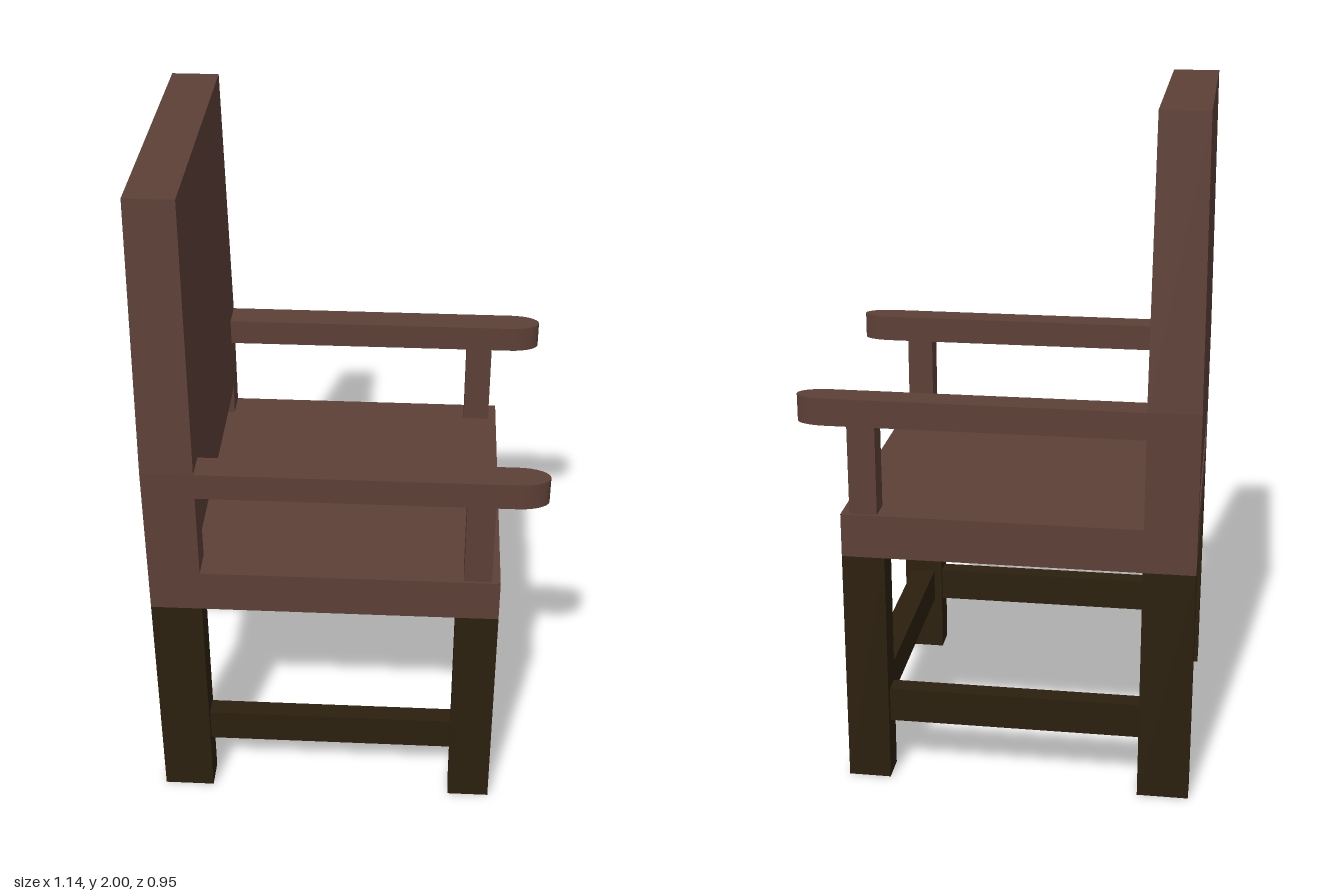
import * as THREE from 'three';

export function createModel() {
  const chair = new THREE.Group();
  chair.name = 'armchair';

  const brownWood = new THREE.MeshStandardMaterial({ color: 0x5d4037 });
  brownWood.name = 'brown wood';
  const darkWood = new THREE.MeshStandardMaterial({ color: 0x2c200f });
  darkWood.name = 'dark wood';

  const W = 0.477; // half the chair's width
  const IN = 0.39; // inner side of legs, posts and arms

  const add = (name, geometry, material) => {
    const mesh = new THREE.Mesh(geometry, material);
    mesh.name = name;
    chair.add(mesh);
    return mesh;
  };

  // Box given by its limits on each axis
  const box = (name, material, x0, x1, y0, y1, z0, z1) =>
    add(name, new THREE.BoxGeometry(x1 - x0, y1 - y0, z1 - z0), material)
      .position.set((x0 + x1) / 2, (y0 + y1) / 2, (z0 + z1) / 2);

  // The same box on both sides of the chair
  const boxPair = (name, material, x0, x1, y0, y1, z0, z1) => {
    box(name + 'Left', material, x0, x1, y0, y1, -z1, -z0);
    box(name + 'Right', material, x0, x1, y0, y1, z0, z1);
  };

  // Seat
  box('seat', brownWood, -0.57, 0.445, 0.715, 0.845, -W, W);

  // Legs and stretchers; the back is left open
  boxPair('backLeg', darkWood, -0.57, -0.42, 0, 0.715, IN, W);
  boxPair('frontLeg', darkWood, 0.32, 0.445, 0, 0.715, IN, W);
  boxPair('sideStretcher', darkWood, -0.42, 0.32, 0.18, 0.285, 0.4, 0.455);
  box('frontStretcher', darkWood, 0.345, 0.42, 0.18, 0.285, -IN, IN);

  // Backrest: two short posts below a panel that narrows above the arms
  const outline = new THREE.Shape([
    [-W, 0.845], [-IN, 0.845], [-IN, 0.94], [IN, 0.94], [IN, 0.845], [W, 0.845],
    [W, 1.19], [0.434, 2], [-0.434, 2], [-W, 1.19],
  ].map(([x, y]) => new THREE.Vector2(x, y)));
  const back = new THREE.ExtrudeGeometry(outline, { depth: 0.15, bevelEnabled: false });
  back.translate(0, 0, -0.075);
  const pos = back.attributes.position;
  for (let i = 0; i < pos.count; i++) {
    if (pos.getY(i) > 1.9) pos.setZ(i, pos.getZ(i) * 0.92);
  }
  back.computeVertexNormals();
  back.rotateY(Math.PI / 2);
  add('backrest', back, brownWood).position.x = -0.495;

  // Arms with rounded front ends
  const mid = (W + IN) / 2;
  const half = (W - IN) / 2;
  const armShape = new THREE.Shape();
  armShape.moveTo(-0.42, -half);
  armShape.lineTo(0.48, -half);
  armShape.absellipse(0.48, 0, 0.088, half, -Math.PI / 2, Math.PI / 2, false);
  armShape.lineTo(-0.42, half);
  armShape.closePath();
  const armGeometry = new THREE.ExtrudeGeometry(armShape, {
    depth: 0.08, bevelEnabled: false, curveSegments: 8,
  });
  armGeometry.rotateX(-Math.PI / 2);
  add('armLeft', armGeometry, brownWood).position.set(0, 1.11, -mid);
  add('armRight', armGeometry, brownWood).position.set(0, 1.11, mid);

  // Arm supports
  boxPair('armSupport', brownWood, 0.34, 0.42, 0.845, 1.11, 0.396, 0.47);

  return chair;
}
